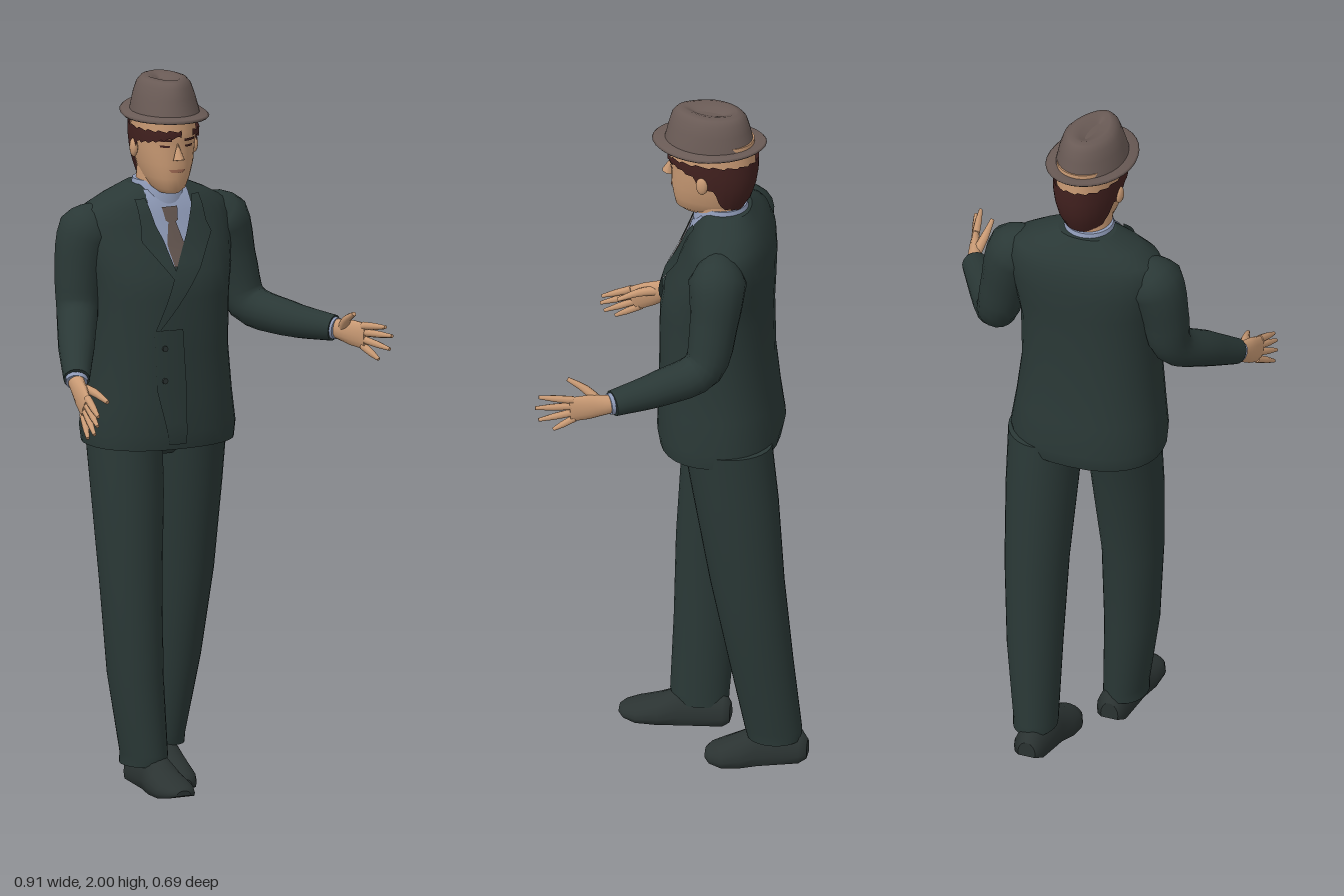
import * as THREE from 'three';

const V = (x, y, z) => new THREE.Vector3(x, y, z);
const mat = (name, color, side = THREE.FrontSide) =>
  Object.assign(new THREE.MeshStandardMaterial({ color, side }), { name });
const lerp = THREE.MathUtils.lerp;

// Skin over a list of rings (equal point counts), with optional flat end caps
function loft(rings, { closed = true, caps = true } = {}) {
  const n = rings[0].length, pos = [], idx = [];
  rings.forEach(r => r.forEach(p => pos.push(p.x, p.y, p.z)));
  for (let i = 0; i < rings.length - 1; i++)
    for (let j = 0; j < (closed ? n : n - 1); j++) {
      const a = i * n + j, b = i * n + (j + 1) % n;
      idx.push(a, b, a + n, b, b + n, a + n);
    }
  if (caps) [rings[0], rings[rings.length - 1]].forEach((r, k) => {
    const base = pos.length / 3, c = V(0, 0, 0);
    r.forEach(p => { pos.push(p.x, p.y, p.z); c.addScaledVector(p, 1 / n); });
    pos.push(c.x, c.y, c.z);
    for (let j = 0; j < n; j++) {
      const a = base + j, b = base + (j + 1) % n;
      idx.push(...(k ? [a, b, base + n] : [b, a, base + n]));
    }
  });
  const g = new THREE.BufferGeometry();
  g.setAttribute('position', new THREE.Float32BufferAttribute(pos, 3));
  g.setIndex(idx);
  g.computeVertexNormals();
  return g;
}

// Body section [y, centreX, halfWidth, frontZ, backZ]; angle 0 faces the front
function bodyPoint([y, cx, rx, zf, zb], a, p = 2, grow = 0) {
  const s = Math.sin(a), c = Math.cos(a), m = (zf + zb) / 2, rz = (zf - zb) / 2;
  const f = v => Math.sign(v) * Math.abs(v) ** (2 / p);
  return V(cx + f(s) * (rx + grow), y, m + f(c) * (rz + grow));
}
const bodyRing = (s, p, n = 32) =>
  Array.from({ length: n }, (_, j) => bodyPoint(s, j / n * Math.PI * 2, p));
const body = (sections, p) => loft(sections.map(s => bodyRing(s, p)));

// Section at any height between the given ones
function sectionAt(sections, y) {
  let i = 0;
  while (i < sections.length - 2 && y > sections[i + 1][0]) i++;
  const a = sections[i], b = sections[i + 1];
  const t = THREE.MathUtils.clamp((y - a[0]) / (b[0] - a[0]), 0, 1);
  return [y, ...a.slice(1).map((v, k) => lerp(v, b[k + 1], t))];
}

// Thin plate lying on the front of a body; rows are [y, leftX, rightX], low to high
function plate(sections, p, rows, lift) {
  const rings = [];
  for (let i = 0; i < rows.length - 1; i++)
    for (let k = i ? 1 : 0; k <= 5; k++) {
      const [y, x0, x1] = rows[i].map((v, q) => lerp(v, rows[i + 1][q], k / 5));
      const [, cx, rx, zf, zb] = sectionAt(sections, y), m = (zf + zb) / 2;
      rings.push(Array.from({ length: 9 }, (_, j) => {
        const x = lerp(x0, x1, j / 8), d = Math.min(1, Math.abs((x - cx) / rx));
        return V(x, y, m + (zf - m) * (1 - d ** p) ** (1 / p) + lift);
      }));
    }
  return loft(rings, { closed: false, caps: false });
}

// Limb along a smooth path; points are [x, y, z, radius, verticalRadius]
function limb(points, steps = 12, n = 14) {
  const curve = new THREE.CatmullRomCurve3(points.map(q => V(q[0], q[1], q[2])));
  const rings = [];
  for (let i = 0; i <= steps; i++) {
    const f = i / steps * (points.length - 1), k = Math.min(points.length - 2, Math.floor(f));
    const a = points[k], b = points[k + 1];
    const ru = lerp(a[3], b[3], f - k), rv = lerp(a[4] ?? a[3], b[4] ?? b[3], f - k);
    const o = curve.getPoint(i / steps), t = curve.getTangent(i / steps);
    const u = V(1, 0, 0).addScaledVector(t, -t.x).normalize(), v = t.clone().cross(u);
    rings.push(Array.from({ length: n }, (_, j) => {
      const q = j / n * Math.PI * 2;
      return o.clone().addScaledVector(u, Math.cos(q) * ru).addScaledVector(v, Math.sin(q) * rv);
    }));
  }
  return loft(rings);
}

// Shoe from sections [z, centreX, halfWidth, bottom, top], heel to toe
const shoe = sections => loft(sections.map(([z, cx, w, lo, hi]) =>
  Array.from({ length: 18 }, (_, j) => {
    const a = j / 18 * Math.PI * 2;
    return V(cx + Math.cos(a) * w, lo + Math.max(0, Math.sin(a) * 0.75 + 0.25) * (hi - lo), z);
  })));

export function createModel() {
  const suit = mat('suit', 0x2a3836, THREE.DoubleSide), leather = mat('shoe leather', 0x2b3332);
  const skin = mat('skin', 0xc99a74), hair = mat('hair', 0x42211f, THREE.DoubleSide);
  const felt = mat('hat felt', 0x695a55), shirt = mat('shirt', 0x8f9bb8, THREE.DoubleSide);
  const silk = mat('tie', 0x63554f, THREE.DoubleSide), lip = mat('lips', 0xa87058, THREE.DoubleSide);
  const model = new THREE.Group();
  const add = (name, geo, m, parent = model) => {
    const mesh = new THREE.Mesh(geo, m);
    mesh.name = name;
    parent.add(mesh);
    return mesh;
  };

  // Jacket
  const torso = [
    [0.985, -0.05, 0.212, 0.072, -0.255], [1.03, -0.05, 0.216, 0.08, -0.265],
    [1.12, -0.052, 0.205, 0.077, -0.252], [1.25, -0.053, 0.192, 0.075, -0.238],
    [1.40, -0.052, 0.195, 0.073, -0.235], [1.47, -0.051, 0.207, 0.06, -0.238],
    [1.54, -0.05, 0.218, 0.025, -0.24], [1.60, -0.05, 0.222, 0.0, -0.235],
    [1.64, -0.05, 0.205, -0.015, -0.22], [1.67, -0.05, 0.15, -0.03, -0.2],
    [1.70, -0.05, 0.08, -0.05, -0.175]];
  add('jacket', body(torso, 2.3), suit);
  const onChest = (name, rows, lift, m) => add(name, plate(torso, 2.3, rows, lift), m);
  onChest('shirtFront', [[1.49, -0.08, -0.06], [1.62, -0.118, 0.015], [1.69, -0.115, 0.015]], 0.005, shirt);
  onChest('tie', [[1.49, -0.075, -0.062], [1.55, -0.083, -0.032], [1.605, -0.068, -0.045],
    [1.61, -0.075, -0.038], [1.645, -0.08, -0.033]], 0.009, silk);
  onChest('rightLapel', [[1.46, -0.085, -0.07], [1.56, -0.155, -0.092], [1.6, -0.15, -0.108], [1.67, -0.15, -0.122]], 0.011, suit);
  onChest('leftLapel', [[1.32, -0.142, -0.13], [1.48, -0.075, 0.0], [1.57, -0.022, 0.062],
    [1.6, -0.008, 0.05], [1.67, 0.02, 0.045]], 0.012, suit);
  onChest('frontOverlap', [[1.0, -0.1, -0.05], [1.15, -0.135, -0.05], [1.32, -0.142, -0.06]], 0.004, suit);
  for (const y of [1.18, 1.27]) {
    const button = add('button', new THREE.CylinderGeometry(0.008, 0.008, 0.006, 12), leather);
    button.rotation.x = Math.PI / 2;
    button.position.set(-0.115, y, 0.078);
  }

  // Shirt collar and neck
  add('shirtCollar', body([[1.64, -0.05, 0.08, -0.015, -0.18], [1.68, -0.05, 0.074, -0.016, -0.172],
    [1.712, -0.05, 0.066, -0.03, -0.163]], 2), shirt);
  add('neck', body([[1.66, -0.05, 0.062, -0.022, -0.155], [1.78, -0.045, 0.06, -0.01, -0.155]], 2), skin);

  // Trousers
  add('trouserSeat', body([[0.945, -0.045, 0.07, -0.06, -0.18], [1.02, -0.045, 0.17, 0.02, -0.235]], 2), suit);
  add('rightTrouserLeg', body([[0.1, -0.13, 0.062, 0.055, -0.1], [0.13, -0.13, 0.061, 0.062, -0.102],
    [0.35, -0.15, 0.075, 0.055, -0.118], [0.6, -0.157, 0.084, 0.05, -0.138],
    [0.85, -0.153, 0.098, 0.035, -0.18], [1.02, -0.15, 0.102, 0.02, -0.22]], 2), suit);
  add('leftTrouserLeg', body([[0.1, 0.047, 0.06, -0.18, -0.328], [0.13, 0.047, 0.06, -0.172, -0.33],
    [0.35, 0.062, 0.076, -0.13, -0.308], [0.6, 0.07, 0.087, -0.08, -0.285],
    [0.85, 0.066, 0.098, -0.035, -0.268], [1.02, 0.063, 0.102, -0.005, -0.25]], 2), suit);

  // Shoes
  add('rightShoe', shoe([[-0.108, -0.112, 0.025, 0.05, 0.1], [-0.09, -0.112, 0.043, 0.045, 0.13],
    [0.03, -0.115, 0.05, 0.04, 0.135], [0.09, -0.12, 0.058, 0.037, 0.105],
    [0.15, -0.122, 0.058, 0.037, 0.085], [0.185, -0.122, 0.042, 0.042, 0.072], [0.2, -0.122, 0.02, 0.048, 0.062]]), leather);
  add('leftShoe', shoe([[-0.345, 0.04, 0.025, 0.045, 0.09], [-0.325, 0.04, 0.044, 0.038, 0.12],
    [-0.21, 0.033, 0.05, 0.018, 0.125], [-0.16, 0.026, 0.058, 0.006, 0.09],
    [-0.11, 0.022, 0.058, 0.0, 0.062], [-0.075, 0.02, 0.042, 0.002, 0.045], [-0.06, 0.02, 0.02, 0.008, 0.03]]), leather);

  // Sleeves, cuffs and hands
  const arm = (side, path, wrist, knuckle, tips, thumb) => {
    add(side + 'Sleeve', limb(path, 20, 18), suit);
    const end = path[path.length - 1], w = V(...wrist), k = V(...knuckle);
    add(side + 'Cuff', limb([[...end.slice(0, 3), 0.031], [...w.clone().lerp(k, 0.08).toArray(), 0.03]], 2), shirt);
    const hand = new THREE.Group();
    hand.name = side + 'Hand';
    model.add(hand);
    const mid = w.clone().lerp(k, 0.55), t = k.clone().sub(w).normalize();
    const across = t.clone().cross(V(1, 0, 0)).normalize();
    add('palm', limb([[...wrist, 0.022, 0.026], [...mid.toArray(), 0.017, 0.036], [...knuckle, 0.011, 0.037]], 8), skin, hand);
    tips.forEach((tip, i) => {
      const b = k.clone().addScaledVector(across, 0.028 - i * 0.0187).addScaledVector(t, -0.012);
      const m = b.clone().lerp(V(...tip), 0.55);
      add('finger', limb([[...b.toArray(), 0.011], [...m.toArray(), 0.0095], [...tip, 0.005]], 6, 8), skin, hand);
    });
    const [b, m, e] = thumb;
    add('thumb', limb([[...b, 0.015], [...m, 0.012], [...e, 0.006]], 6, 8), skin, hand);
  };
  arm('right',
    [[-0.2, 1.62, -0.12, 0.04], [-0.25, 1.575, -0.125, 0.08], [-0.278, 1.47, -0.12, 0.066],
      [-0.292, 1.36, -0.1, 0.057], [-0.35, 1.285, 0.005, 0.05], [-0.402, 1.22, 0.105, 0.036]],
    [-0.405, 1.217, 0.105], [-0.43, 1.16, 0.215],
    [[-0.438, 1.155, 0.3], [-0.443, 1.13, 0.305], [-0.447, 1.105, 0.295], [-0.452, 1.09, 0.265]],
    [[-0.41, 1.205, 0.135], [-0.396, 1.2, 0.19], [-0.382, 1.18, 0.248]]);
  arm('left',
    [[0.1, 1.62, -0.11, 0.04], [0.155, 1.575, -0.115, 0.08], [0.19, 1.46, -0.11, 0.066],
      [0.222, 1.34, -0.085, 0.058], [0.29, 1.305, 0.02, 0.05], [0.372, 1.292, 0.14, 0.036]],
    [0.374, 1.292, 0.14], [0.412, 1.285, 0.252],
    [[0.428, 1.325, 0.335], [0.445, 1.3, 0.342], [0.442, 1.262, 0.333], [0.428, 1.228, 0.295]],
    [[0.382, 1.3, 0.175], [0.372, 1.33, 0.215], [0.368, 1.355, 0.265]]);

  // Head, turned slightly to its right
  const head = new THREE.Group();
  head.name = 'head';
  head.position.set(-0.045, 0, -0.06);
  head.rotation.y = -0.14;
  model.add(head);
  const skull = [
    [1.685, 0, 0.03, 0.075, -0.04], [1.70, 0, 0.048, 0.094, -0.08], [1.73, 0, 0.062, 0.1, -0.102],
    [1.77, 0, 0.073, 0.106, -0.118], [1.81, 0, 0.079, 0.104, -0.125], [1.835, 0, 0.081, 0.108, -0.128],
    [1.86, 0, 0.082, 0.11, -0.128], [1.92, 0, 0.08, 0.105, -0.125]];
  add('face', body(skull, 2.2), skin, head);
  const nose = add('nose', new THREE.ConeGeometry(0.017, 0.05, 8), skin, head);
  nose.position.set(0, 1.81, 0.112);
  nose.rotation.x = -0.25;
  add('mouth', plate(skull, 2.2, [[1.749, -0.016, 0.016], [1.758, -0.024, 0.024]], 0.003), lip, head);
  for (const s of [-1, 1]) {
    add('eye', plate(skull, 2.2, [[1.82, s * 0.034 - 0.011, s * 0.034 + 0.011], [1.826, s * 0.034 - 0.013, s * 0.034 + 0.013]], 0.003), hair, head);
    add('eyebrow', plate(skull, 2.2, [[1.837, s * 0.036 - 0.018, s * 0.036 + 0.018], [1.844, s * 0.036 - 0.018, s * 0.036 + 0.018]], 0.004), hair, head);
    const ear = add('ear', new THREE.SphereGeometry(0.024, 12, 10), skin, head);
    ear.scale.set(0.45, 1.1, 0.7);
    ear.position.set(s * 0.087, 1.805, -0.005);
  }

  // Hair: a band round the head, open over the brow, with an uneven lower edge
  const edge = [[0.45, 1.85], [1.0, 1.84], [1.35, 1.825], [1.55, 1.79], [1.75, 1.79], [2.05, 1.725],
    [3.14, 1.7], [4.23, 1.725], [4.53, 1.79], [4.73, 1.79], [4.95, 1.825], [5.5, 1.832], [6.35, 1.848]];
  const strands = 72;
  add('hair', loft([0, 0.25, 0.5, 0.75, 1].map(v => Array.from({ length: strands + 1 }, (_, j) => {
    const a = lerp(0.45, 6.35, j / strands), low = sectionAt(edge, a)[1] + (j % 3) * 0.003;
    const y = lerp(low, 1.87 - (j % 4) * 0.002, v);
    return bodyPoint(sectionAt(skull, y), a, 2.2, 0.009);
  })), { closed: false, caps: false }), hair, head);

  // Hat: brim turned up at the back, crown creased and pinched at the front
  const hatRing = (rx, rz, y, curl = 0, crease = 0) => Array.from({ length: 32 }, (_, j) => {
    const a = j / 32 * Math.PI * 2, s = Math.sin(a), c = Math.cos(a);
    const pinch = 1 - crease * 0.18 * Math.max(0, c);
    return V(s * rx * pinch, y + curl * (0.011 * Math.max(0, -c) - 0.004 * s * s), c * rz);
  });
  add('hatBrim', loft([hatRing(0.075, 0.11, 1.892), hatRing(0.112, 0.155, 1.894, 1), hatRing(0.117, 0.16, 1.899, 1),
    hatRing(0.112, 0.155, 1.904, 1), hatRing(0.085, 0.12, 1.908)]), felt, head);
  add('hatCrown', loft([hatRing(0.093, 0.127, 1.9), hatRing(0.09, 0.122, 1.915), hatRing(0.083, 0.114, 1.95, 0, 0.6),
    hatRing(0.073, 0.105, 1.98, 0, 1), hatRing(0.06, 0.092, 1.995, 0, 1.2), hatRing(0.045, 0.076, 2.0, 0, 1.4),
    hatRing(0.025, 0.058, 1.992, 0, 1.4), hatRing(0.008, 0.04, 1.984)]), felt, head);

  return model;
}
